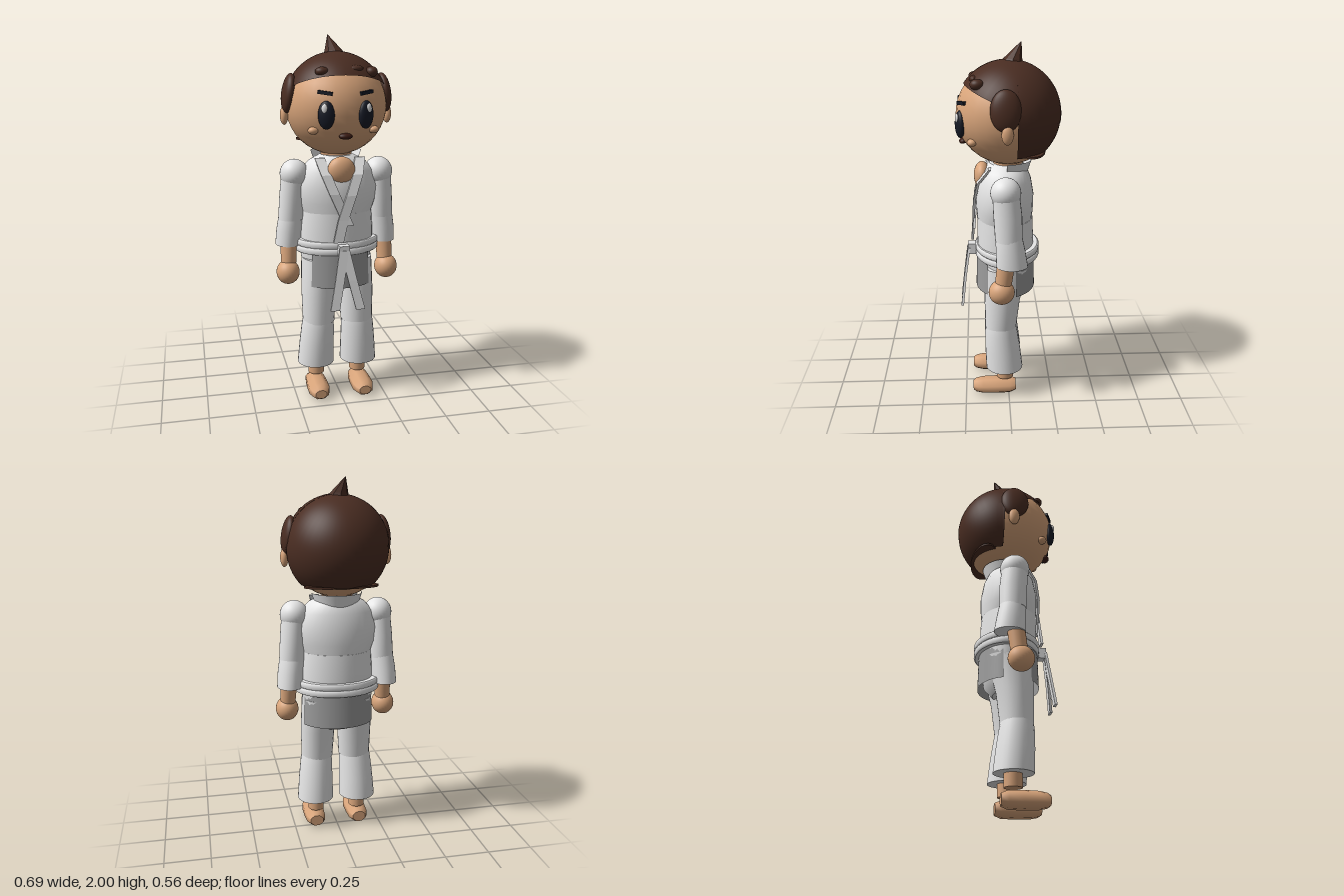
import * as THREE from 'three';

const mat = (name, color, extra = {}) => Object.assign(new THREE.MeshStandardMaterial({ color, ...extra }), { name });

export function createModel() {
  const root = new THREE.Group();
  root.name = 'figure';
  const skin = mat('skin', 0xd9a57b);
  const hair = mat('hair brown', 0x4a2d22);
  const cloth = mat('white cloth', 0xe6e6e6, { side: THREE.DoubleSide });
  const shade = mat('grey cloth', 0x9c9c9c, { side: THREE.DoubleSide });
  const dark = mat('eye navy', 0x161a26);
  const shine = mat('eye white', 0xf4f4f4);
  const lip = mat('mouth brown', 0x3a1a12);

  const add = (name, geo, material, parent = root) => {
    const m = new THREE.Mesh(geo, material);
    m.name = name;
    parent.add(m);
    return m;
  };

  // Ellipsoid at a position
  const ball = (name, material, [x, y, z], [rx, ry, rz], parent = root) => {
    const m = add(name, new THREE.SphereGeometry(1, 28, 20), material, parent);
    m.position.set(x, y, z);
    m.scale.set(rx, ry, rz);
    return m;
  };

  // Capped loft through horizontal rings [y, rx, rz, cx, cz], listed upwards
  const loft = (rings, sides = 24, flat = false, phase = 0) => {
    const pos = [], idx = [];
    const ring = ([y, rx, rz, cx = 0, cz = 0]) => {
      for (let j = 0; j < sides; j++) {
        const a = phase + (j / sides) * Math.PI * 2;
        pos.push(cx + rx * Math.cos(a), y, cz + rz * Math.sin(a));
      }
    };
    rings.forEach(ring);
    for (let i = 0; i < rings.length - 1; i++) for (let j = 0; j < sides; j++) {
      const a = i * sides + j, b = i * sides + (j + 1) % sides;
      idx.push(a, a + sides, b, b, a + sides, b + sides);
    }
    [rings[0], rings[rings.length - 1]].forEach((r, top) => {
      const base = pos.length / 3;
      ring(r);
      pos.push(r[3] || 0, r[0], r[4] || 0);
      for (let j = 0; j < sides; j++) {
        const a = base + j, b = base + (j + 1) % sides;
        idx.push(base + sides, top ? b : a, top ? a : b);
      }
    });
    let g = new THREE.BufferGeometry();
    g.setAttribute('position', new THREE.Float32BufferAttribute(pos, 3));
    g.setIndex(idx);
    if (flat) g = g.toNonIndexed();
    g.computeVertexNormals();
    return g;
  };

  // Flat band through points [x, y, z], listed upwards
  const band = (name, pts, width, thick = 0.014) => add(name,
    loft(pts.map(([x, y, z]) => [y, width * 0.707, thick * 0.707, x, z]), 4, true, Math.PI / 4), cloth);

  // Head and neck
  const headY = 1.635;
  ball('head', skin, [0, headY, 0], [0.272, 0.265, 0.274]);
  add('neck', loft([[1.28, 0.085, 0.08], [1.42, 0.085, 0.08]]), skin);
  ball('throat', skin, [0, 1.3, 0.14], [0.075, 0.075, 0.045]);

  // Hair: tilted cap, back of the head, tuft and curls
  const cap = add('hairCap', new THREE.SphereGeometry(0.281, 40, 20, 0, Math.PI * 2, 0, 1.335), hair);
  cap.position.y = headY;
  cap.rotation.x = -0.38;
  const backGeo = new THREE.SphereGeometry(0.279, 32, 24, Math.PI, Math.PI, 0, 2.345);
  backGeo.rotateY(0);
  const bp = backGeo.attributes.position;
  // keep the half behind the ears, with a straight front edge
  for (let i = 0; i < bp.count; i++) bp.setZ(i, Math.min(-Math.abs(bp.getZ(i)), -0.04));
  const flip = backGeo.index.array;
  const mid = new THREE.Vector3().fromBufferAttribute(bp, 33 * 12 + 16);
  const va = new THREE.Vector3().fromBufferAttribute(bp, 33 * 12 + 17).sub(mid);
  const vb = new THREE.Vector3().fromBufferAttribute(bp, 33 * 13 + 16).sub(mid);
  // restore outward winding if the half was mirrored
  if (vb.cross(va).dot(mid) < 0) for (let i = 0; i < flip.length; i += 3) [flip[i], flip[i + 1]] = [flip[i + 1], flip[i]];
  backGeo.computeVertexNormals();
  add('hairBack', backGeo, hair).position.y = headY;
  const napeY = headY - 0.195;
  add('hairNape', loft([[napeY - 0.001, 0.2, 0.08, 0, -0.121], [napeY + 0.01, 0.2, 0.08, 0, -0.121]]), hair);
  add('hairTuft', loft([[1.88, 0.068, 0.068, 0, -0.012], [1.92, 0.048, 0.048, -0.007, -0.026],
    [2.0, 0.002, 0.002, -0.03, -0.07]], 8, true), hair);
  ball('curl', hair, [-0.11, 1.815, 0.175], [0.036, 0.024, 0.03]);
  ball('curl', hair, [0.06, 1.825, 0.178], [0.045, 0.02, 0.022]).rotation.z = 0.15;
  ball('curl', hair, [0.153, 1.812, 0.16], [0.032, 0.028, 0.036]);

  // Face
  const mouth = ball('mouth', lip, [0, 1.493, 0.238], [0.035, 0.016, 0.022]);
  mouth.rotation.x = 0.3;

  for (const s of [1, -1]) {
    const side = s > 0 ? 'left' : 'right';
    const lock = ball(side + 'SideLock', hair, [s * 0.258, 1.7, 0.02], [0.038, 0.105, 0.078]);
    lock.rotation.z = s * 0.15;
    ball(side + 'Ear', skin, [s * 0.283, 1.585, 0.012], [0.022, 0.05, 0.03]);
    ball(side + 'Cheek', skin, [s * 0.16, 1.52, 0.19], [0.028, 0.02, 0.026]);
    const eye = ball(side + 'Eye', dark, [s * 0.103, 1.602, 0.25], [0.043, 0.071, 0.024]);
    eye.rotation.y = s * 0.36;
    ball(side + 'EyeShine', shine, [s * 0.115, 1.636, 0.265], [0.015, 0.024, 0.009]).rotation.y = s * 0.36;
    const brow = add(side + 'Brow', new THREE.BoxGeometry(0.076, 0.018, 0.022), dark);
    brow.position.set(s * 0.106, 1.712, 0.238);
    brow.rotation.set(0, s * 0.45, s * 0.13);

    // Arm: shoulder, sleeve, wrist, hand
    const arm = new THREE.Group();
    arm.name = side + 'Arm';
    root.add(arm);
    ball('shoulder', cloth, [s * 0.235, 1.272, 0.02], [0.078, 0.08, 0.08], arm);
    add('upperSleeve', loft([[1.02, 0.069, 0.072, s * 0.255, 0.005], [1.15, 0.068, 0.075, s * 0.248, 0.01],
      [1.28, 0.066, 0.07, s * 0.238, 0.02]]), cloth, arm);
    add('lowerSleeve', loft([[0.875, 0.07, 0.084, s * 0.27, -0.012], [0.96, 0.07, 0.078, s * 0.264, -0.004],
      [1.035, 0.067, 0.07, s * 0.255, 0.004]]), cloth, arm);
    add('wrist', loft([[0.76, 0.042, 0.045, s * 0.276, 0.036], [0.89, 0.046, 0.048, s * 0.27, 0.02]]), skin, arm);
    ball('hand', skin, [s * 0.28, 0.728, 0.044], [0.064, 0.068, 0.07], arm);

    // Leg: trousers, ankle, foot
    const leg = new THREE.Group();
    leg.name = side + 'Leg';
    root.add(leg);
    add('thigh', loft([[0.43, 0.09, 0.088, s * 0.11, 0.045], [0.6, 0.097, 0.1, s * 0.107, 0.036],
      [0.8, 0.096, 0.125, s * 0.102, 0.012]]), cloth, leg);
    add('shin', loft([[0.175, 0.104, 0.105, s * 0.124, 0.025], [0.3, 0.098, 0.1, s * 0.12, 0.035],
      [0.4, 0.092, 0.092, s * 0.115, 0.043], [0.455, 0.086, 0.084, s * 0.112, 0.045]]), cloth, leg);
    add('ankle', loft([[0.105, 0.045, 0.048, s * 0.122, 0.022], [0.22, 0.045, 0.048, s * 0.122, 0.022]]), skin, leg);
    const foot = add('foot', loft([[-0.04, 0.04, 0.033], [-0.005, 0.057, 0.047], [0.07, 0.062, 0.049],
      [0.15, 0.062, 0.046], [0.19, 0.05, 0.038], [0.207, 0.034, 0.026]], 8, false, Math.PI / 8), skin, leg);
    foot.position.set(s * 0.127, 0.046, 0);
    foot.rotation.x = Math.PI / 2;
  }

  // Jacket and hips
  add('chest', loft([[1.05, 0.188, 0.15, 0, 0.018], [1.12, 0.214, 0.156, 0, 0.018], [1.2, 0.224, 0.158, 0, 0.018],
    [1.29, 0.2, 0.142, 0, 0.018], [1.34, 0.155, 0.118, 0, 0.015], [1.372, 0.09, 0.09, 0, 0.01]], 32), cloth);
  add('waist', loft([[0.86, 0.202, 0.157, 0, 0.015], [0.96, 0.202, 0.156, 0, 0.015],
    [1.068, 0.194, 0.153, 0, 0.017]], 32), cloth);
  add('hips', loft([[0.62, 0.1, 0.07], [0.68, 0.185, 0.118], [0.8, 0.198, 0.138], [0.88, 0.2, 0.145]], 32), cloth);

  // Jacket tails below the belt
  const tail = (name, centre, half) => {
    const m = add(name, new THREE.CylinderGeometry(0.2, 0.206, 0.205, 24, 1, true, centre - half, half * 2), shade);
    m.position.set(0, 0.757, 0.015);
    m.scale.z = 0.8;
  };
  tail('frontTail', 0, 0.9);
  tail('backTail', Math.PI, 1.25);

  // Standing collar and crossed lapels
  const collar = add('collar', new THREE.CylinderGeometry(0.14, 0.115, 0.075, 24, 1, true, Math.PI / 2, Math.PI), cloth);
  collar.position.set(0, 1.355, 0.01);
  band('leftLapel', [[-0.028, 0.92, 0.198], [0.0, 1.04, 0.19], [0.045, 1.17, 0.185], [0.085, 1.28, 0.162],
    [0.11, 1.365, 0.1]], 0.055);
  band('rightLapel', [[0.03, 1.01, 0.188], [0.0, 1.08, 0.182], [-0.045, 1.18, 0.18], [-0.085, 1.28, 0.158],
    [-0.11, 1.365, 0.1]], 0.055);

  // Belt: two wraps, knot and hanging ends
  for (const y of [0.895, 0.858]) add('beltWrap', loft([[y - 0.018, 0.228, 0.17, 0, 0.005], [y - 0.011, 0.236, 0.178, 0, 0.005],
    [y + 0.011, 0.236, 0.178, 0, 0.005], [y + 0.018, 0.228, 0.17, 0, 0.005]], 32), cloth);
  const knot = add('beltKnot', new THREE.BoxGeometry(0.055, 0.06, 0.05), cloth);
  knot.position.set(0, 0.875, 0.2);
  band('beltEnd', [[-0.06, 0.56, 0.26], [-0.03, 0.72, 0.242], [-0.004, 0.88, 0.222]], 0.05);
  band('beltEnd', [[0.08, 0.56, 0.26], [0.04, 0.72, 0.242], [0.004, 0.88, 0.218]], 0.05);

  return root;
}
